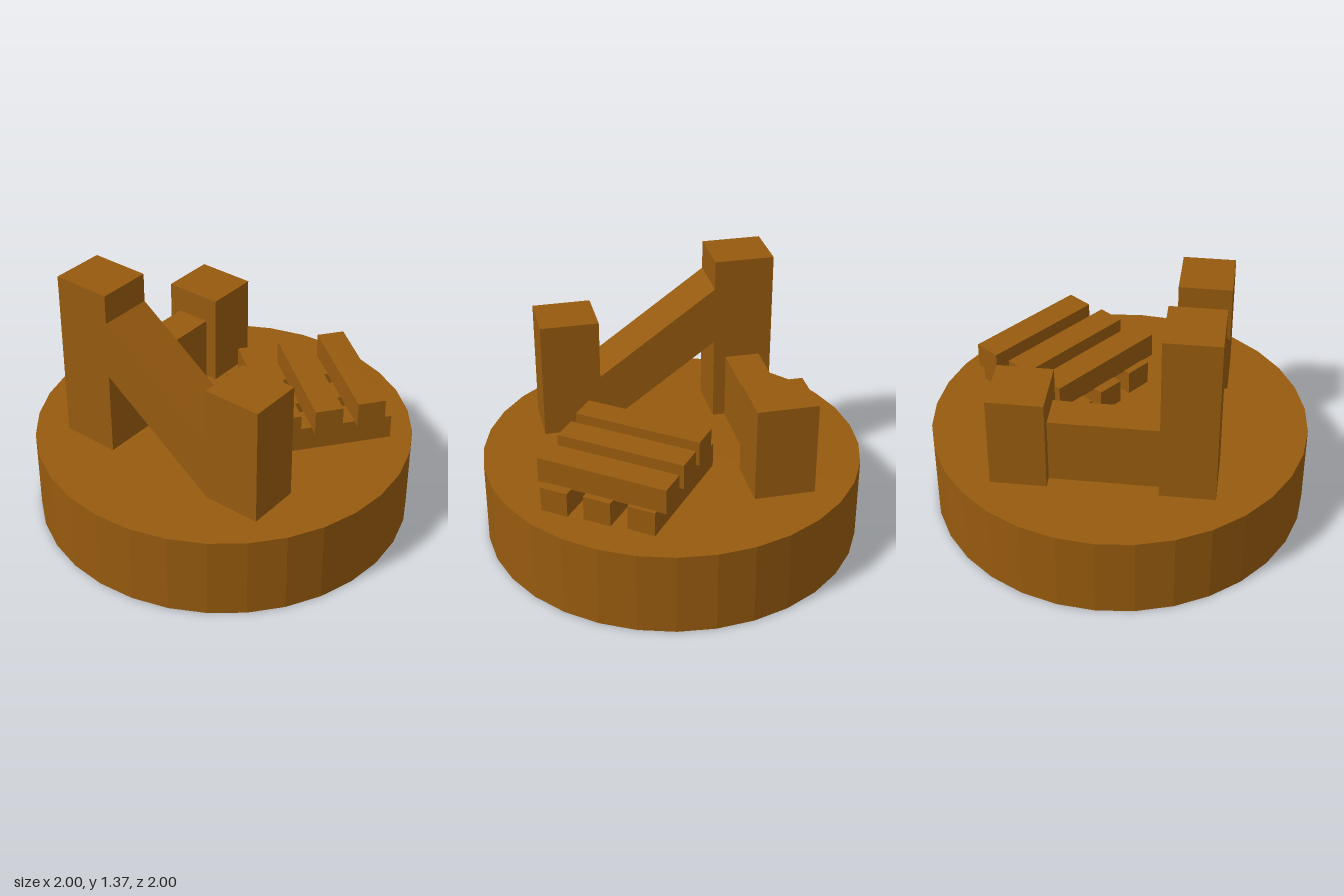
import * as THREE from 'three';

const BASE_TOP = 0.445;

export function createModel() {
  const model = new THREE.Group();
  model.name = 'diorama';
  const wood = new THREE.MeshStandardMaterial({ color: 0x965a0e, flatShading: true });
  wood.name = 'brown wood';

  const add = (name, geometry, parent = model) => {
    const mesh = new THREE.Mesh(geometry, wood);
    mesh.name = name;
    parent.add(mesh);
    return mesh;
  };

  // Axis-aligned block standing on the base, given by its extents
  const block = (name, x0, x1, z0, z1, top) => {
    const mesh = add(name, new THREE.BoxGeometry(x1 - x0, top - BASE_TOP, z1 - z0));
    mesh.position.set((x0 + x1) / 2, (top + BASE_TOP) / 2, (z0 + z1) / 2);
  };

  // Round faceted base
  add('base', new THREE.CylinderGeometry(1, 1, BASE_TOP, 32)).position.y = BASE_TOP / 2;

  // Posts and the low wall joining the two at the back
  block('tallPost', -0.555, -0.27, -0.61, -0.295, 1.365);
  block('frontPost', -0.555, -0.27, 0.33, 0.64, 1.08);
  block('shortPost', 0.295, 0.585, -0.61, -0.295, 0.945);
  block('backWall', -0.27, 0.295, -0.545, -0.36, 0.8);

  // Sloping ramp between the tall post and the front post, drawn in z and y
  const profile = new THREE.Shape([
    new THREE.Vector2(-0.295, 0.9),
    new THREE.Vector2(0.33, 0.447),
    new THREE.Vector2(0.33, 0.76),
    new THREE.Vector2(-0.295, 1.21),
  ]);
  const ramp = new THREE.ExtrudeGeometry(profile, { depth: 0.285, bevelEnabled: false });
  ramp.rotateY(-Math.PI / 2).translate(-0.27, 0, 0);
  add('ramp', ramp);

  // Stack of planks: three below, three crossing on top
  const stack = new THREE.Group();
  stack.name = 'plankStack';
  model.add(stack);
  const layer = (name, centres, y0, y1, degrees) => {
    for (const [x, z] of centres) {
      const plank = add(name, new THREE.BoxGeometry(0.7, y1 - y0, 0.148), stack);
      plank.position.set(x, (y0 + y1) / 2, z);
      plank.rotation.y = THREE.MathUtils.degToRad(degrees);
    }
  };
  layer('lowerPlank', [[0.465, 0.105], [0.337, 0.3], [0.21, 0.492]], BASE_TOP, 0.577, -37.5);
  layer('upperPlank', [[0.145, 0.184], [0.336, 0.31], [0.53, 0.44]], 0.573, 0.708, 52.7);

  return model;
}
